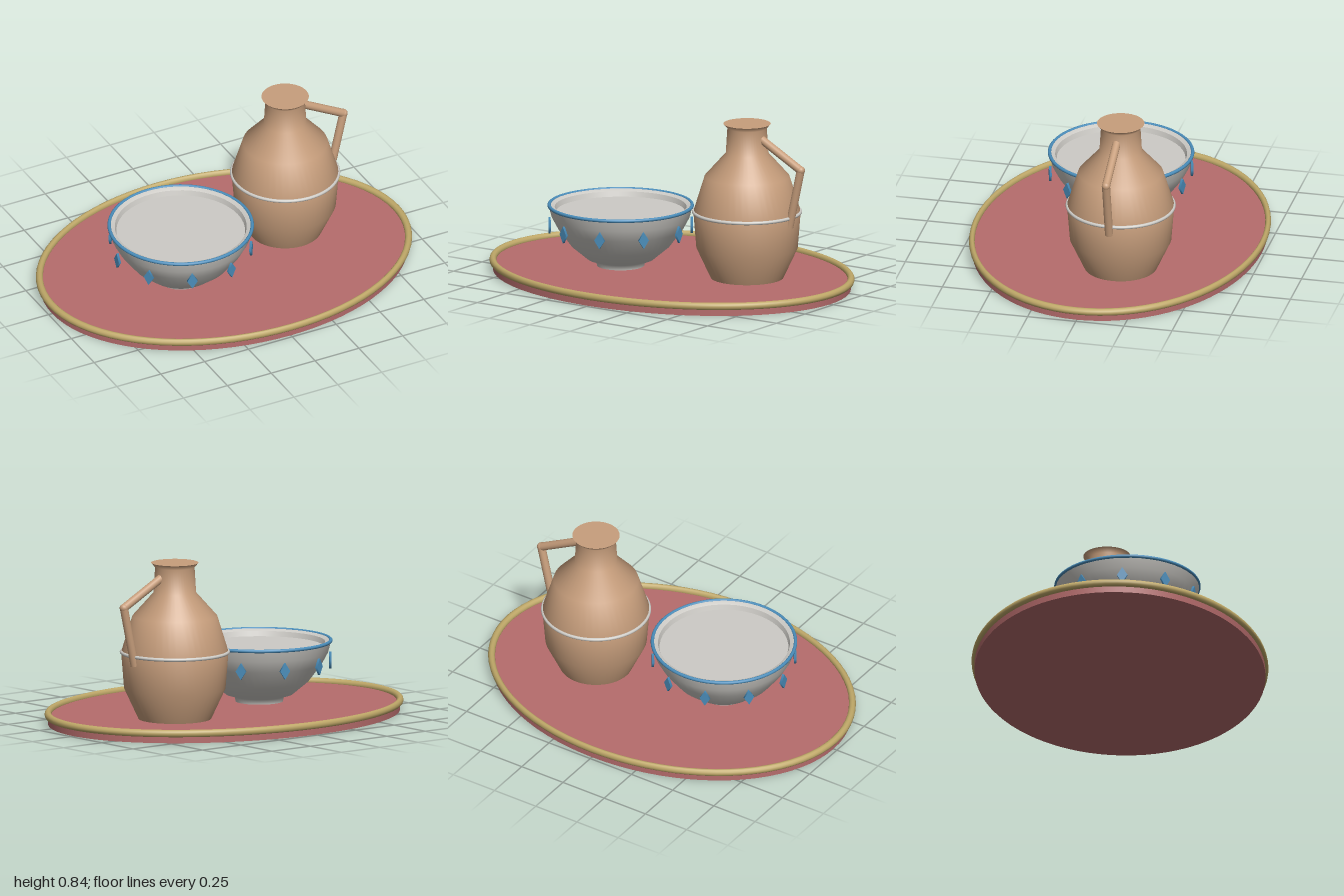
import * as THREE from 'three';

const material = (name, color) => {
  const m = new THREE.MeshStandardMaterial({ color });
  m.name = name;
  return m;
};

export function createModel() {
  const rose = material('rose tray', 0xb66c6c);
  const gold = material('gold rim', 0xbfa868);
  const clay = material('clay', 0xc79e7c);
  const white = material('white glaze', 0xcdcbc6);
  const blue = material('blue glaze', 0x4a8dba);

  const model = new THREE.Group();
  model.name = 'servingTray';

  const add = (parent, name, geometry, mat, x = 0, y = 0, z = 0) => {
    const mesh = new THREE.Mesh(geometry, mat);
    mesh.name = name;
    mesh.position.set(x, y, z);
    parent.add(mesh);
    return mesh;
  };
  const group = (name, x = 0, z = 0) => {
    const g = new THREE.Group();
    g.name = name;
    g.position.set(x, 0, z);
    model.add(g);
    return g;
  };
  const lathe = (points) =>
    new THREE.LatheGeometry(points.map(([r, y]) => new THREE.Vector2(r, y)), 48);
  const ring = (radius, tube) =>
    new THREE.TorusGeometry(radius, tube, 12, 80).rotateX(Math.PI / 2);

  // Oval tray: a round disc and rim squashed along z
  const tray = group('tray');
  tray.scale.z = 0.75;
  add(tray, 'trayBase', new THREE.CylinderGeometry(0.98, 0.98, 0.045, 80), rose, 0, 0.0225);
  add(tray, 'trayRim', ring(0.981, 0.019), gold, 0, 0.05);

  // Jug; repeated points keep the foot and lip edges crisp
  const jug = group('jug', 0.398, -0.095);
  add(jug, 'jugBody', lathe([
    [0, 0.045], [0.185, 0.045], [0.185, 0.045], [0.257, 0.2], [0.272, 0.386],
    [0.215, 0.57], [0.108, 0.69], [0.1, 0.82], [0.12, 0.843], [0.12, 0.843], [0, 0.843],
  ]), clay);
  add(jug, 'jugBand', ring(0.27, 0.009), white, 0, 0.386);

  // Angled handle: two rods with a rounded joint
  const rod = (name, a, b) => {
    const from = new THREE.Vector3(...a), to = new THREE.Vector3(...b);
    const dir = to.clone().sub(from);
    const mesh = add(jug, name, new THREE.CylinderGeometry(0.021, 0.021, dir.length(), 16), clay);
    mesh.position.copy(from).add(to).multiplyScalar(0.5);
    mesh.quaternion.setFromUnitVectors(new THREE.Vector3(0, 1, 0), dir.normalize());
  };
  const elbow = [0.332, 0.643, 0];
  rod('handleTop', [0.09, 0.772, 0], elbow);
  rod('handleSide', elbow, [0.262, 0.34, 0]);
  add(jug, 'handleElbow', new THREE.SphereGeometry(0.022, 16, 12), clay, ...elbow);

  // Bowl: outer wall, lip and the inner wall
  const bowl = group('bowl', -0.277, 0.058);
  add(bowl, 'bowlBody', lathe([
    [0, 0.045], [0.12, 0.045], [0.12, 0.045], [0.125, 0.07], [0.17, 0.083], [0.25, 0.15],
    [0.318, 0.24], [0.35, 0.3], [0.366, 0.36], [0.366, 0.36],
    [0.355, 0.36], [0.334, 0.35], [0.334, 0.35], [0.322, 0.31],
  ]), white);
  add(bowl, 'bowlFilling', new THREE.CircleGeometry(0.328, 64).rotateX(-Math.PI / 2), white, 0, 0.324);
  add(bowl, 'bowlRim', ring(0.362, 0.009), blue, 0, 0.357);

  // Ten upright diamonds around the bowl
  const diamond = new THREE.CylinderGeometry(1, 1, 0.012, 4).rotateX(Math.PI / 2);
  diamond.scale(0.027, 0.043, 1);
  for (let i = 0; i < 10; i++) {
    const a = (i + 0.5) * Math.PI / 5;
    const d = add(bowl, 'bowlDiamond', diamond, blue, 0.36 * Math.sin(a), 0.252, 0.36 * Math.cos(a));
    d.rotation.y = a;
  }

  return model;
}
